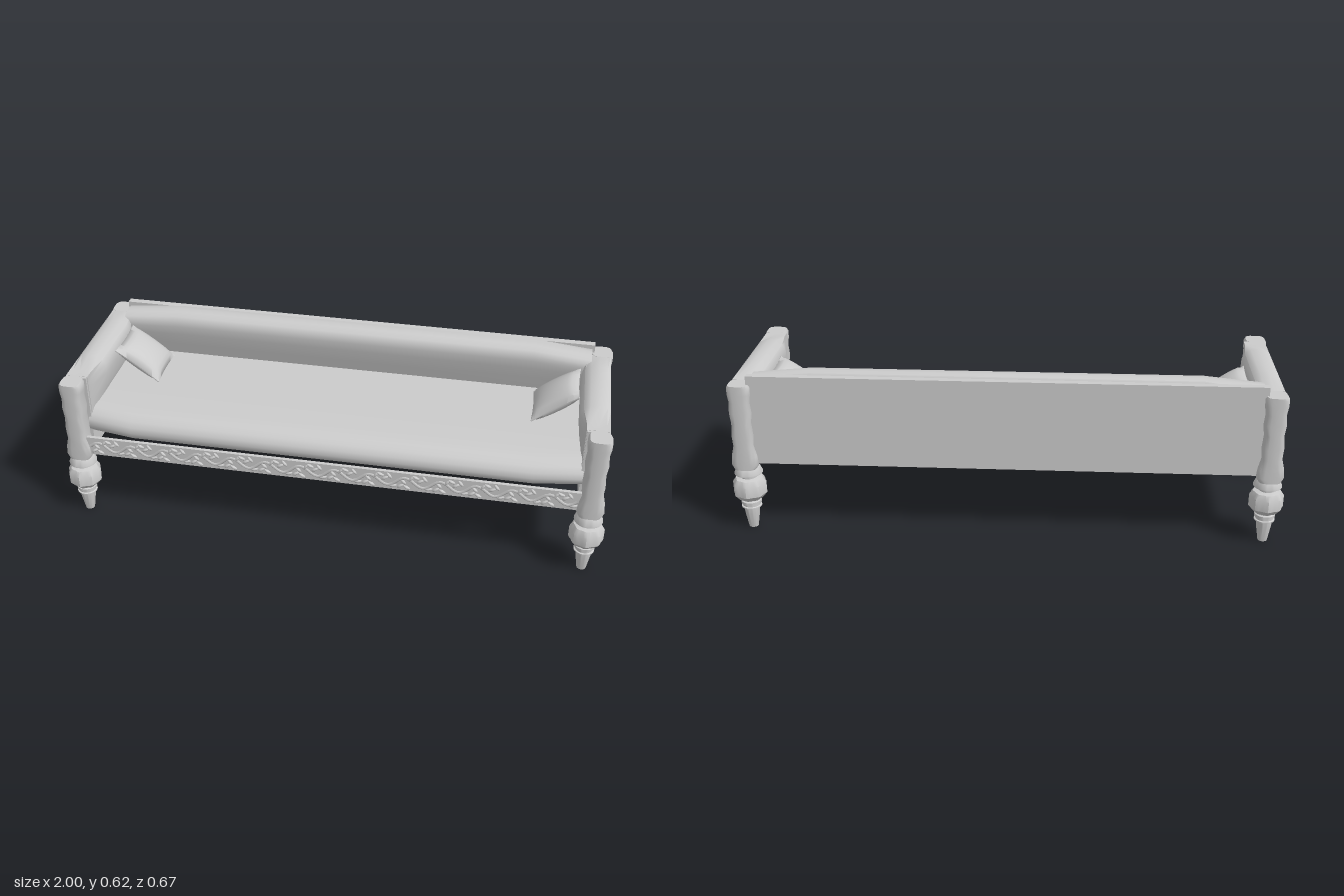
import * as THREE from 'three';
import { mergeGeometries, toCreasedNormals } from 'three/addons/utils/BufferGeometryUtils.js';

const material = new THREE.MeshStandardMaterial({ color: 0xcccccc });

function part(name, geometry, parent) {
  const mesh = new THREE.Mesh(geometry, material);
  mesh.name = name;
  parent.add(mesh);
  return mesh;
}

// Box given by its limits on each axis
function box(x0, x1, y0, y1, z0, z1) {
  return new THREE.BoxGeometry(x1 - x0, y1 - y0, z1 - z0)
    .translate((x0 + x1) / 2, (y0 + y1) / 2, (z0 + z1) / 2);
}

// Skin over equal rings of points, counter-clockwise about the direction of travel, with end caps
function loft(rings, crease = 0.7) {
  const n = rings[0].length, pos = [];
  const tri = (...pts) => pts.forEach((p) => pos.push(...p));
  for (let i = 0; i < rings.length - 1; i++) {
    for (let j = 0; j < n; j++) {
      const k = (j + 1) % n;
      const a = rings[i][j], b = rings[i][k], c = rings[i + 1][k], d = rings[i + 1][j];
      tri(a, b, c);
      tri(a, c, d);
    }
  }
  const centre = (r) => [0, 1, 2].map((c) => r.reduce((s, p) => s + p[c], 0) / n);
  const first = rings[0], last = rings[rings.length - 1];
  const c0 = centre(first), c1 = centre(last);
  for (let j = 0; j < n; j++) {
    const k = (j + 1) % n;
    tri(c0, first[k], first[j]);
    tri(c1, last[j], last[k]);
  }
  const g = new THREE.BufferGeometry();
  g.setAttribute('position', new THREE.Float32BufferAttribute(pos, 3));
  return toCreasedNormals(g, crease);
}

// Turned leg with a fluted bulb
function legGeometry() {
  const profile = [
    [0, 0], [0.017, 0], [0.027, 0.06], [0.028, 0.08], [0.037, 0.084], [0.037, 0.088], [0.032, 0.09],
    [0.032, 0.098], [0.037, 0.1], [0.037, 0.109], [0.031, 0.112], [0.031, 0.119], [0.045, 0.12],
    [0.062, 0.14], [0.062, 0.182], [0.05, 0.2], [0.03, 0.204], [0.03, 0.218], [0.051, 0.22],
    [0.051, 0.224], [0.04, 0.25], [0.034, 0.256], [0, 0.256],
  ].map(([r, y]) => new THREE.Vector2(r, y));
  const g = new THREE.LatheGeometry(profile, 32);
  const p = g.attributes.position;
  for (let i = 0; i < p.count; i++) {
    if (p.getY(i) < 0.119 || p.getY(i) > 0.201) continue;
    const a = Math.atan2(p.getZ(i), p.getX(i));
    const s = 0.96 + 0.04 * Math.cos(8 * a);
    p.setX(i, p.getX(i) * s);
    p.setZ(i, p.getZ(i) * s);
  }
  return toCreasedNormals(g, 0.6);
}

// Post with a wavy silhouette and rounded-square section
function postGeometry() {
  const widths = [
    [0.25, 0.04], [0.268, 0.05], [0.3, 0.047], [0.34, 0.037], [0.38, 0.04], [0.43, 0.036],
    [0.47, 0.041], [0.51, 0.037], [0.54, 0.042], [0.566, 0.042], [0.575, 0.036],
  ];
  const round = (t) => Math.sign(t) * Math.abs(t) ** 0.6;
  return loft(widths.map(([y, w]) => Array.from({ length: 24 }, (_, j) => {
    const a = (j / 24) * Math.PI * 2;
    return [w * round(Math.sin(a)), y, 0.038 * round(Math.cos(a))];
  })));
}

// Square cushion, puffed in the middle
function pillowGeometry() {
  const g = new THREE.BoxGeometry(0.2, 1, 0.2, 12, 1, 12);
  const p = g.attributes.position;
  for (let i = 0; i < p.count; i++) {
    const u = p.getX(i) / 0.1, v = p.getZ(i) / 0.1;
    const puff = Math.max(0, (1 - u * u) * (1 - v * v)) ** 0.45;
    p.setXYZ(i, p.getX(i) * (1 - 0.05 * (1 - v * v)),
      Math.sign(p.getY(i)) * (0.002 + 0.034 * puff), p.getZ(i) * (1 - 0.05 * (1 - u * u)));
  }
  return toCreasedNormals(g, 0.8);
}

// Winding vine with leaves, in relief on both faces of the rail
function carvingGeometry() {
  const repeats = 14, step = 1.78 / repeats, points = [], pieces = [];
  for (let i = 0; i <= repeats * 8; i++) {
    points.push(new THREE.Vector3(-0.89 + (i / 8) * step, 0.308 + 0.018 * Math.sin((i / 4) * Math.PI), 0.296));
  }
  const vine = new THREE.CatmullRomCurve3(points);
  pieces.push(new THREE.TubeGeometry(vine, repeats * 12, 0.006, 5));
  pieces.push(new THREE.TubeGeometry(vine, repeats * 12, 0.006, 5).translate(0, 0, -0.011));
  const leaves = [
    [0.12, -0.018, 0.6], [0.3, -0.022, -0.5], [0.42, 0.018, 0.9], [0.55, 0.024, -0.4],
    [0.68, 0.01, 0.5], [0.8, 0.022, -0.9], [0.92, -0.02, 0.3], [0.2, 0.002, -0.8],
  ];
  for (let i = 0; i < repeats; i++) {
    for (const [u, dy, angle] of leaves) {
      pieces.push(new THREE.SphereGeometry(1, 8, 6).scale(0.018, 0.007, 0.014).rotateZ(angle)
        .translate(-0.89 + (i + u) * step, 0.308 + dy, 0.2905));
    }
  }
  return mergeGeometries(pieces);
}

export function createModel() {
  const sofa = new THREE.Group();
  sofa.name = 'sofa';

  // Seat: section in (y, z), with its front edge set back toward the ends
  const seat = [
    [0.345, -0.275], [0.43, -0.275], [0.436, -0.1], [0.437, 0.1], [0.436, 0.2], [0.431, 0.24],
    [0.418, 0.268], [0.4, 0.283], [0.38, 0.289], [0.36, 0.283], [0.345, 0.268],
  ];
  part('seatCushion', loft([[-0.9, 0.027], [-0.73, 0], [0.73, 0], [0.9, 0.027]].map(([x, back]) =>
    seat.map(([y, z]) => [x, y, z > 0.15 ? z - back : z]))), sofa);

  // Backrest: flat panel and rolled cushion tapering at the ends
  part('backPanel', box(-0.91, 0.91, 0.27, 0.606, -0.3, -0.275), sofa);
  const back = [
    [0.6, -0.28], [0.612, -0.27], [0.615, -0.245], [0.614, -0.22], [0.603, -0.198], [0.588, -0.188],
    [0.565, -0.186], [0.53, -0.191], [0.48, -0.204], [0.42, -0.22], [0.42, -0.28],
  ];
  part('backCushion', loft([[-0.9, 0], [-0.69, 1], [0.69, 1], [0.9, 0]].map(([x, k]) =>
    back.map(([y, z]) => [x, y - (1 - k) * Math.max(0, y - 0.5) * 0.18, z]))), sofa);

  // Carved front rail
  part('frontRail', box(-0.91, 0.91, 0.272, 0.346, 0.284, 0.297), sofa);
  part('railCarving', carvingGeometry(), sofa);

  const arm = [
    [0.97, 0.575], [0.958, 0.586], [0.93, 0.592], [0.9, 0.589], [0.878, 0.575], [0.867, 0.552],
    [0.866, 0.52], [0.874, 0.465], [0.888, 0.42], [0.93, 0.42], [0.97, 0.55],
  ];
  const armStations = [[-0.25, 0], [-0.15, 1], [0.115, 1], [0.205, 0], [0.24, 0]];
  const armCushion = loft(armStations.map(([z, k]) => arm.map(([x, y]) => [
    THREE.MathUtils.lerp(Math.max(x, 0.89), x, k), THREE.MathUtils.lerp(Math.min(y, 0.575), y, k), z])));
  const legGeo = legGeometry(), postGeo = postGeometry(), pillowGeo = pillowGeometry();

  // Both ends: arm, legs, posts and pillow, mirrored across x
  for (const side of [1, -1]) {
    const end = new THREE.Group();
    end.name = side > 0 ? 'leftEnd' : 'rightEnd';
    end.scale.x = side;
    sofa.add(end);
    part('armPanel', box(0.892, 0.97, 0.272, 0.574, -0.26, 0.25), end);
    part('armCushion', armCushion, end);
    part('frontLeg', legGeo, end).position.set(0.938, 0, 0.275);
    part('backLeg', legGeo, end).position.set(0.938, 0, -0.272);
    part('frontPost', postGeo, end).position.set(0.938, 0, 0.277);
    part('backPost', postGeo, end).position.set(0.938, 0, -0.287);
    const pillow = part('pillow', pillowGeo, end);
    pillow.position.set(0.783, 0.5, -0.075);
    pillow.rotation.z = 0.64;
  }
  return sofa;
}
